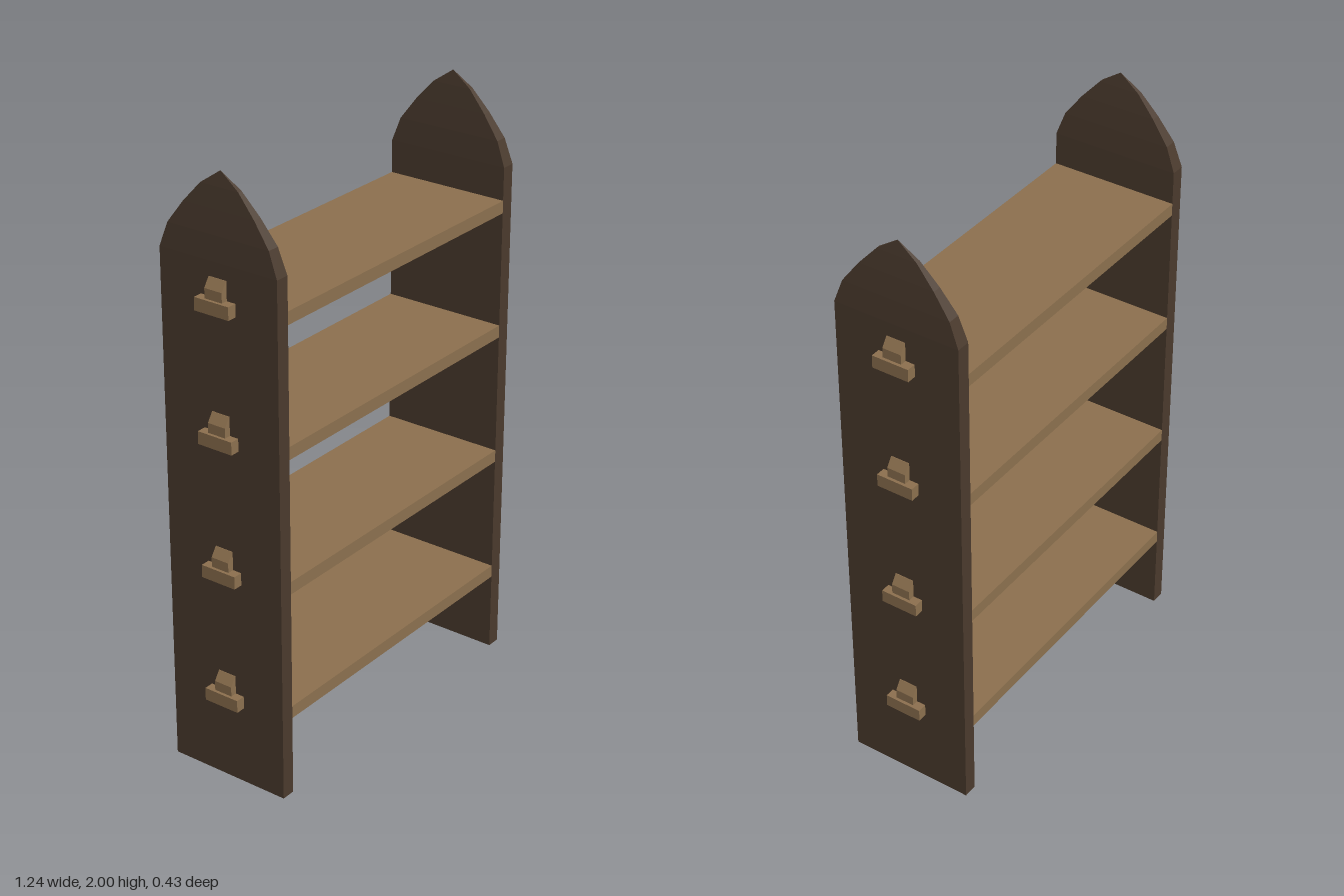
import * as THREE from 'three';

const darkWood = new THREE.MeshStandardMaterial({ color: 0x4a3a2d, flatShading: true });
const lightWood = new THREE.MeshStandardMaterial({ color: 0x8b6f4e, flatShading: true });

const DEPTH = 0.43;     // front to back
const INNER = 0.543;    // inner face of each side panel
const OUTER = 0.59;     // outer face of each side panel

function addMesh(parent, name, geometry, material, x = 0, y = 0, z = 0) {
  const mesh = new THREE.Mesh(geometry, material);
  mesh.name = name;
  mesh.position.set(x, y, z);
  parent.add(mesh);
  return mesh;
}

// Upright board whose rectangular section shrinks to a point at the top
function panelGeometry() {
  const rows = [[0, 1], [1.73, 1], [1.81, 0.86], [1.885, 0.6], [1.952, 0.32], [2, 0]]; // [height, scale]
  const last = rows.length - 1;
  const box = new THREE.BoxGeometry(OUTER - INNER, 1, DEPTH, 1, last, 1);
  const p = box.attributes.position;
  for (let i = 0; i < p.count; i++) {
    const [y, s] = rows[Math.round((p.getY(i) + 0.5) * last)];
    p.setXYZ(i, p.getX(i) * s, y, p.getZ(i) * s);
  }
  const geometry = box.toNonIndexed();
  geometry.computeVertexNormals();
  return geometry;
}

// Peg with a chamfered outer top edge, profile in x/y, extruded along z
function wedgeGeometry() {
  const shape = new THREE.Shape([
    [0, 0], [0.032, 0], [0.032, 0.032], [0.012, 0.062], [0, 0.062],
  ].map(([x, y]) => new THREE.Vector2(x, y)));
  const geometry = new THREE.ExtrudeGeometry(shape, { depth: 0.064, bevelEnabled: false });
  return geometry.translate(0, 0, -0.032);
}

export function createModel() {
  const model = new THREE.Group();
  model.name = 'shelfUnit';

  // Side panels
  const panel = panelGeometry();
  for (const [side, sx] of [['left', 1], ['right', -1]]) {
    addMesh(model, side + 'Panel', panel, darkWood, sx * (INNER + OUTER) / 2);
  }

  // Shelves, each with a through tenon and a locking wedge at both ends
  const board = new THREE.BoxGeometry(INNER * 2, 0.042, DEPTH);
  const tenon = new THREE.BoxGeometry(0.622 - INNER, 0.042, 0.126);
  const wedge = wedgeGeometry();
  [0.291, 0.726, 1.174, 1.6].forEach((y, i) => {
    const shelf = new THREE.Group();
    shelf.name = 'shelf' + (i + 1);
    shelf.position.y = y;
    addMesh(shelf, 'board', board, lightWood);
    for (const [side, turn] of [['left', 0], ['right', Math.PI]]) {
      const joint = new THREE.Group();
      joint.name = side + 'Joint';
      joint.rotation.y = turn;
      addMesh(joint, 'tenon', tenon, lightWood, (0.622 + INNER) / 2);
      addMesh(joint, 'wedge', wedge, lightWood, 0.58, 0.021);
      shelf.add(joint);
    }
    model.add(shelf);
  });

  return model;
}
